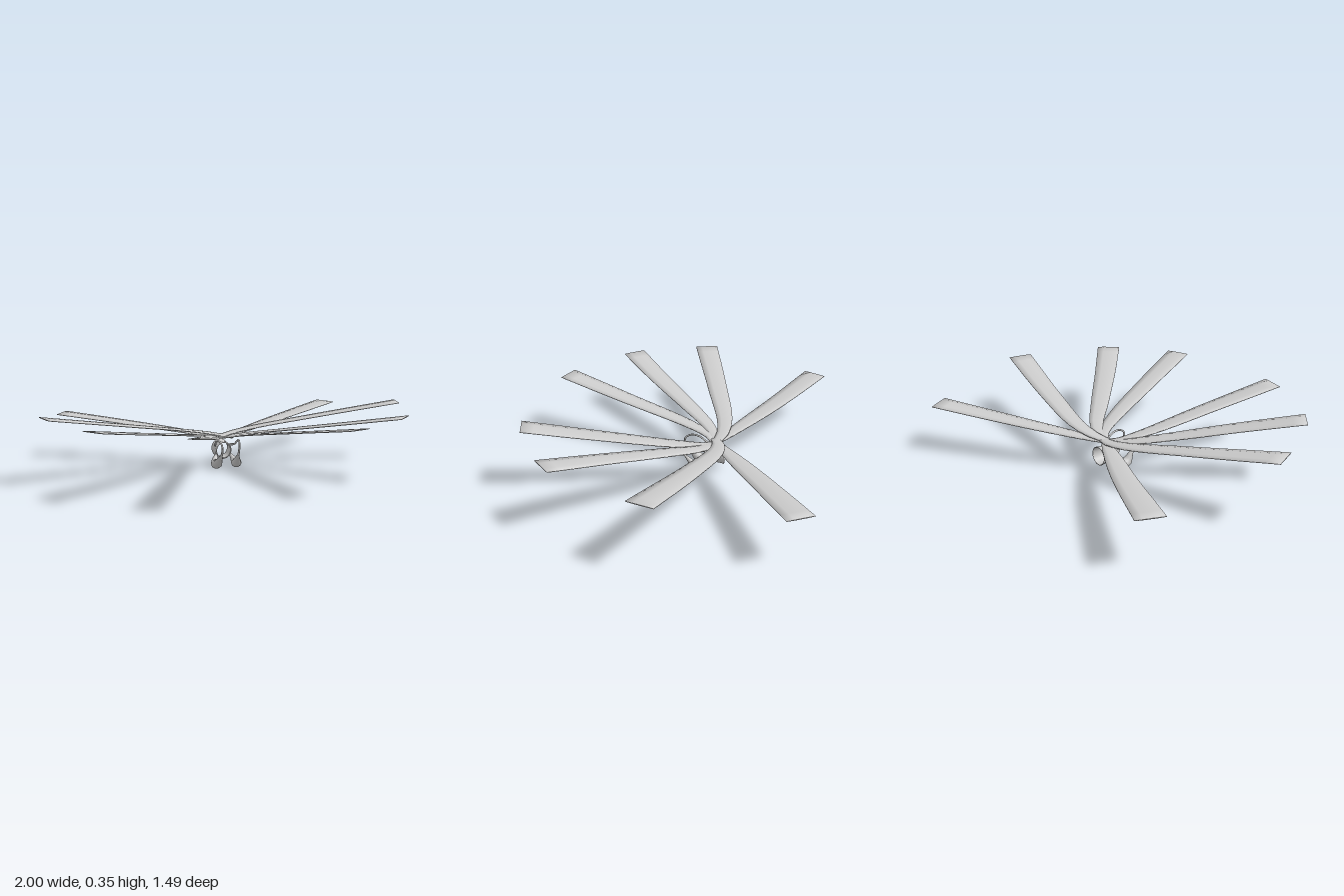
import * as THREE from 'three';

const material = new THREE.MeshStandardMaterial({ color: 0xcccccc, side: THREE.DoubleSide });
const UP = new THREE.Vector3(0, 1, 0);

// cross-sections as [x, y, normalX, normalY], counter-clockwise
const roundSection = Array.from({ length: 16 }, (_, j) => {
  const a = (j / 16) * Math.PI * 2;
  return [Math.cos(a), Math.sin(a), Math.cos(a), Math.sin(a)];
});
const slatSection = [
  [1, -0.6, 0.7, -0.7], [1, 0.6, 0.7, 0.7], [0.45, 1, 0.1, 1], [-0.45, 1, -0.1, 1],
  [-1, 0.6, -0.7, 0.7], [-1, -0.6, -0.7, -0.7], [-0.45, -1, -0.1, -1], [0.45, -1, 0.1, -1],
];

// linear lookup in evenly spaced values
function sample(values, t) {
  const f = t * (values.length - 1);
  const i = Math.min(Math.floor(f), values.length - 2);
  return THREE.MathUtils.lerp(values[i], values[i + 1], f - i);
}

// closed soft-edged loft of a section along a path;
// sideways is a fixed width direction, or null for the horizontal across the path
function loft(points, section, widths, heights, steps, sideways) {
  const curve = new THREE.CatmullRomCurve3(points.map((p) => new THREE.Vector3(...p)));
  const sides = section.length;
  const pos = [], normals = [], index = [];
  const v = new THREE.Vector3();
  for (let i = 0; i <= steps; i++) {
    const t = i / steps;
    const c = curve.getPointAt(t);
    const T = curve.getTangentAt(t);
    const S = sideways ? sideways.clone() : UP.clone().cross(T).normalize();
    const N = T.clone().cross(S).normalize();
    const endLean = i === steps ? 0.7 : i === 0 ? -0.7 : 0;
    for (const [x, y, nx, ny] of section) {
      v.copy(c).addScaledVector(S, (x * sample(widths, t)) / 2).addScaledVector(N, (y * sample(heights, t)) / 2);
      pos.push(...v.toArray());
      v.set(0, 0, 0).addScaledVector(S, nx).addScaledVector(N, ny).addScaledVector(T, endLean).normalize();
      normals.push(...v.toArray());
    }
  }
  const last = steps * sides;
  for (let j = 0; j < sides; j++) {
    const k = (j + 1) % sides;
    for (let i = 0; i < steps; i++) {
      const a = i * sides + j, b = i * sides + k;
      index.push(a, b, b + sides, a, b + sides, a + sides);
    }
  }
  // end caps
  for (let j = 1; j < sides - 1; j++) index.push(0, j + 1, j, last, last + j, last + j + 1);
  const g = new THREE.BufferGeometry();
  g.setAttribute('position', new THREE.Float32BufferAttribute(pos, 3));
  g.setAttribute('normal', new THREE.Float32BufferAttribute(normals, 3));
  g.setIndex(index);
  return g;
}

// flat blade whose height climbs evenly from root to tip; plan holds [x, z] pairs
function blade(name, plan, rootY, tipY) {
  const run = [0];
  for (let i = 1; i < plan.length; i++) {
    run.push(run[i - 1] + Math.hypot(plan[i][0] - plan[i - 1][0], plan[i][1] - plan[i - 1][1]));
  }
  const total = run[run.length - 1];
  const points = plan.map(([x, z], i) => [x, rootY + ((tipY - rootY) * run[i]) / total, z]);
  const widths = [0.03, 0.06, 0.078, 0.092, 0.102, 0.109, 0.115, 0.121, 0.127, 0.131, 0.135];
  const mesh = new THREE.Mesh(loft(points, slatSection, widths, [0.012, 0.008, 0.006, 0.005], 16, null), material);
  mesh.name = name;
  return mesh;
}

export function createModel() {
  const model = new THREE.Group();
  model.name = 'bladeFan';

  // eight blades fanning from the hub
  const blades = new THREE.Group();
  blades.name = 'blades';
  const plans = [
    ['leftFrontBlade', [[0.0, -0.2], [0.065, -0.155], [0.125, -0.04], [0.255, 0.34], [0.375, 0.722]], 0.345],
    ['leftMiddleBlade', [[0.0, -0.21], [0.13, -0.15], [0.29, 0.01], [0.52, 0.25], [0.748, 0.478]], 0.345],
    ['leftSideBlade', [[-0.06, -0.18], [0.04, -0.225], [0.18, -0.235], [0.51, -0.165], [0.983, -0.035]], 0.345],
    ['leftBackBlade', [[0.0, -0.21], [0.12, -0.28], [0.46, -0.48], [0.83, -0.69]], 0.263],
    ['rightFrontBlade', [[0.0, -0.2], [-0.065, -0.155], [-0.125, -0.04], [-0.24, 0.34], [-0.357, 0.72]], 0.345],
    ['rightMiddleBlade', [[0.0, -0.21], [-0.13, -0.155], [-0.3, -0.01], [-0.54, 0.215], [-0.787, 0.43]], 0.345],
    ['rightSideBlade', [[0.05, -0.185], [-0.04, -0.228], [-0.18, -0.23], [-0.51, -0.14], [-0.98, 0.002]], 0.345],
    ['rightBackBlade', [[0.0, -0.21], [-0.12, -0.28], [-0.46, -0.485], [-0.845, -0.693]], 0.263],
  ];
  for (const [name, plan, tipY] of plans) blades.add(blade(name, plan, 0.16, tipY));
  model.add(blades);

  const clip = new THREE.Group();
  clip.name = 'clip';
  clip.position.x = -0.007;
  model.add(clip);

  // thin waisted sleeve, open along z
  const profile = [
    [0.042, 0.04], [0.046, 0.042], [0.05, 0.034], [0.046, 0], [0.049, -0.03],
    [0.052, -0.044], [0.047, -0.044], [0.042, 0], [0.042, 0.04],
  ].map(([r, y]) => new THREE.Vector2(r, y));
  const sleeve = new THREE.Mesh(new THREE.LatheGeometry(profile, 32), material);
  sleeve.name = 'sleeve';
  sleeve.rotation.x = Math.PI / 2;
  sleeve.scale.x = 0.93;
  sleeve.position.set(0, 0.092, -0.212);
  clip.add(sleeve);

  // side loops: a thin wire swelling into a bulb at the bottom
  const wire = [
    [0.044, 0.12, -0.19], [0.056, 0.13, -0.15], [0.06, 0.156, -0.11], [0.055, 0.165, -0.065],
    [0.049, 0.145, -0.033], [0.047, 0.105, -0.04], [0.05, 0.065, -0.075], [0.056, 0.034, -0.107],
    [0.058, 0.027, -0.14], [0.054, 0.045, -0.168], [0.042, 0.068, -0.185],
  ];
  const thick = [0.014, 0.011, 0.01, 0.01, 0.01, 0.01, 0.011, 0.013, 0.03, 0.052, 0.05, 0.034, 0.016];
  for (const s of [1, -1]) {
    const path = wire.map(([x, y, z]) => [x * s, y, z]);
    const loop = new THREE.Mesh(
      loft(path, roundSection, thick, thick, 60, new THREE.Vector3(1, 0, 0)), material);
    loop.name = s > 0 ? 'leftLoop' : 'rightLoop';
    clip.add(loop);
  }
  return model;
}
